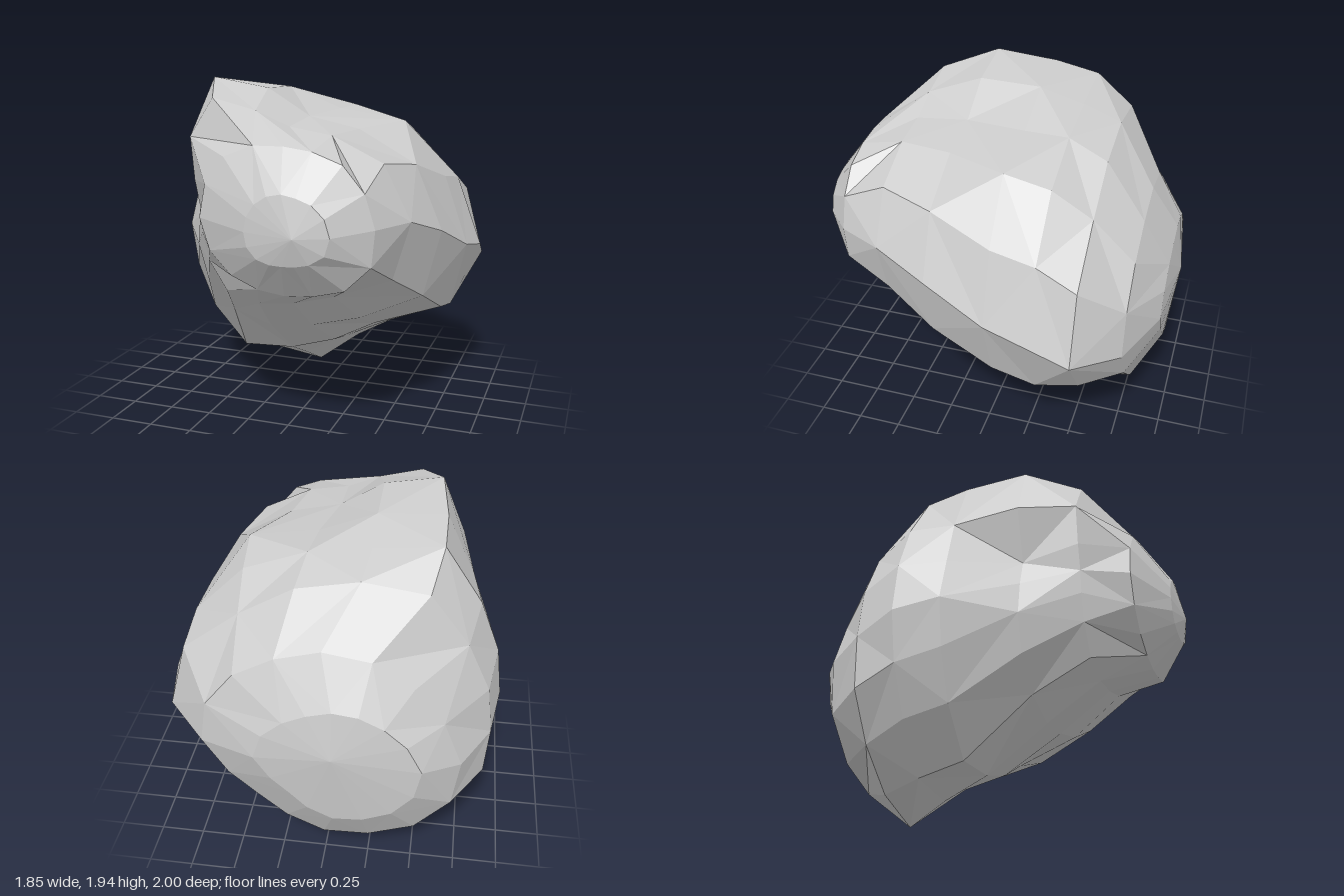
import * as THREE from 'three';

// Centres of the cross-sections, back to front: [x, y, z]
const CENTRES = [
  [-0.07, 0.85, -0.95], [0, 0.8, -0.8], [-0.17, 0.85, -0.57],
  [-0.2, 0.95, -0.35], [-0.2, 1.0, -0.1], [-0.2, 1.15, 0.25],
  [-0.15, 1.25, 0.55], [0.1, 1.25, 0.8], [0.15, 1.23, 0.96],
];

// Radii of each cross-section, evenly spaced anticlockwise from +x
const RADII = [
  [0.42, 0.4, 0.36, 0.34, 0.35, 0.36, 0.38, 0.42, 0.47, 0.47, 0.45, 0.42, 0.4, 0.36, 0.33, 0.36],
  [0.67, 0.68, 0.66, 0.64, 0.66, 0.67, 0.67, 0.69, 0.74, 0.76, 0.72, 0.66, 0.62, 0.56, 0.53, 0.58],
  [1.07, 1.04, 0.91, 0.89, 0.89, 0.91, 0.79, 0.74, 0.72, 0.76, 0.77, 0.81, 0.85, 0.7, 0.72, 0.88],
  [1.12, 1.05, 0.97, 0.88, 0.86, 0.97, 0.82, 0.75, 0.73, 0.73, 0.77, 0.86, 0.83, 0.74, 0.78, 1.03],
  [1.08, 1.02, 0.99, 0.82, 0.88, 0.97, 0.76, 0.67, 0.69, 0.7, 0.76, 0.84, 0.76, 0.73, 0.76, 1.02],
  [1.0, 0.92, 0.75, 0.64, 0.74, 0.86, 0.66, 0.41, 0.43, 0.5, 0.57, 0.62, 0.65, 0.67, 0.77, 0.98],
  [0.85, 0.76, 0.6, 0.5, 0.54, 0.65, 0.55, 0.4, 0.34, 0.36, 0.42, 0.5, 0.52, 0.54, 0.62, 0.82],
  [0.48, 0.46, 0.44, 0.4, 0.39, 0.42, 0.46, 0.47, 0.47, 0.45, 0.42, 0.39, 0.38, 0.4, 0.46, 0.5],
  [0.25, 0.24, 0.22, 0.2, 0.2, 0.2, 0.2, 0.2, 0.2, 0.2, 0.19, 0.17, 0.16, 0.17, 0.2, 0.24],
];
const SIDES = 16;

function createRockGeometry() {
  const positions = [];
  const index = [];
  const last = CENTRES.length - 1;

  // Rings
  CENTRES.forEach(([x, y, z], k) => {
    RADII[k].forEach((r, i) => {
      const a = (i / SIDES) * Math.PI * 2;
      positions.push(x + r * Math.cos(a), y + r * Math.sin(a), z);
    });
  });

  // Skin between rings, with alternating diagonals
  for (let k = 0; k < last; k++) {
    for (let i = 0; i < SIDES; i++) {
      const j = (i + 1) % SIDES;
      const a = k * SIDES + i, b = k * SIDES + j;
      const c = b + SIDES, d = a + SIDES;
      if ((i + k) % 2) index.push(a, b, d, b, c, d);
      else index.push(a, b, c, a, c, d);
    }
  }

  // Blunt back and front ends
  const back = positions.length / 3;
  positions.push(-0.07, 0.92, -1, 0.22, 1.22, 1);
  for (let i = 0; i < SIDES; i++) {
    const j = (i + 1) % SIDES;
    index.push(back, j, i, back + 1, last * SIDES + i, last * SIDES + j);
  }

  const indexed = new THREE.BufferGeometry();
  indexed.setAttribute('position', new THREE.Float32BufferAttribute(positions, 3));
  indexed.setIndex(index);
  const geometry = indexed.toNonIndexed();
  geometry.computeVertexNormals();
  return geometry;
}

export function createModel() {
  const group = new THREE.Group();
  group.name = 'boulder';
  const rock = new THREE.Mesh(
    createRockGeometry(),
    new THREE.MeshStandardMaterial({ color: 0xcccccc, flatShading: true })
  );
  rock.name = 'rock';
  group.add(rock);
  return group;
}
